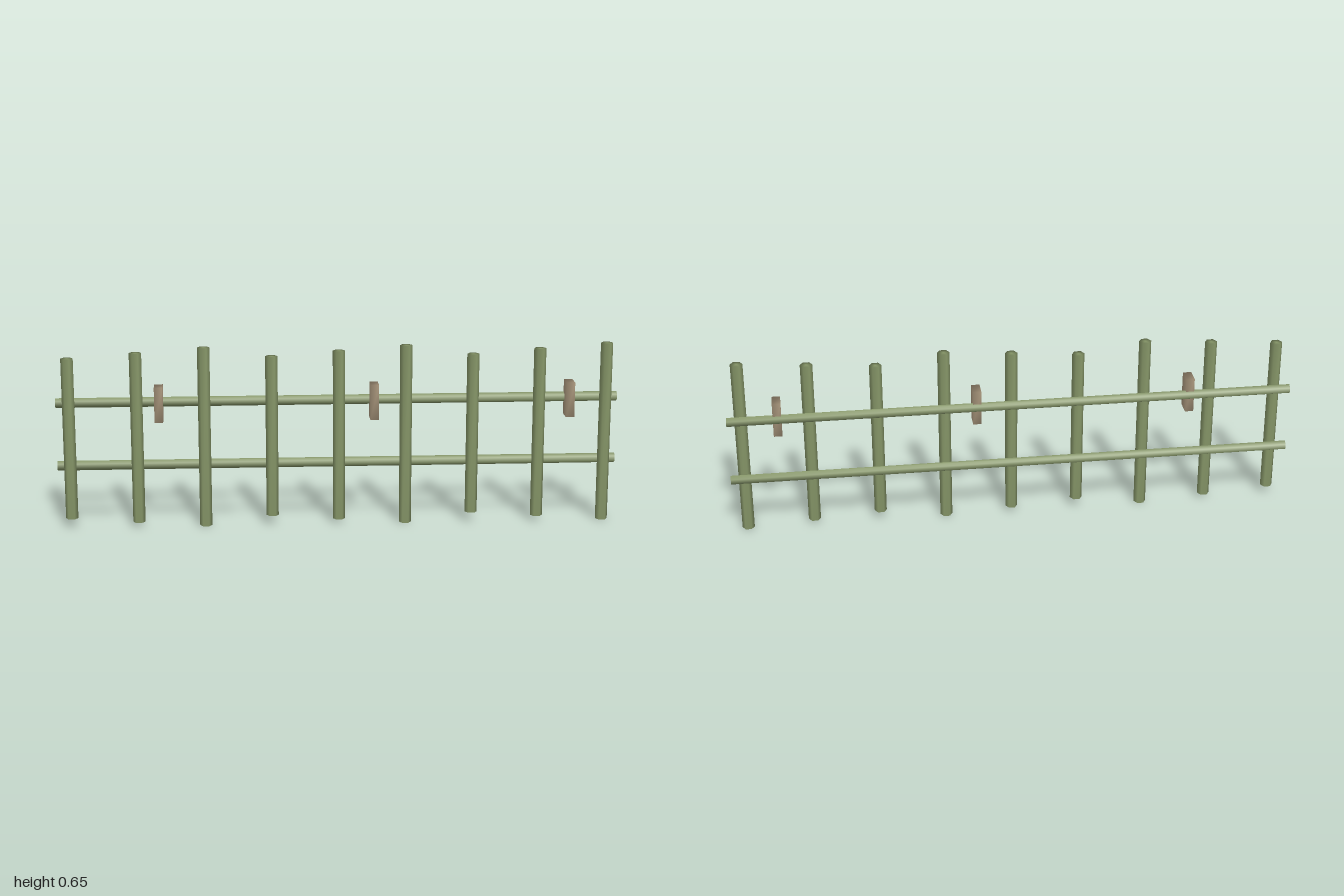
import * as THREE from 'three';
import { mergeVertices } from 'three/addons/utils/BufferGeometryUtils.js';

// Share corners between faces so the shading rolls softly over the edges
function soften(geometry) {
  geometry.deleteAttribute('normal');
  geometry.deleteAttribute('uv');
  const merged = mergeVertices(geometry, 1e-4);
  merged.computeVertexNormals();
  return merged;
}

export function createModel() {
  const group = new THREE.Group();
  const green = new THREE.MeshStandardMaterial({ color: 0x869668 });
  green.name = 'bamboo green';
  const tan = new THREE.MeshStandardMaterial({ color: 0xae9b80 });
  tan.name = 'tag tan';

  const add = (name, geometry, material, x, y, z) => {
    const mesh = new THREE.Mesh(geometry, material);
    mesh.name = name;
    mesh.position.set(x, y, z);
    group.add(mesh);
  };

  // Upright hexagonal posts in three repeating lengths
  const lengths = [0.58, 0.614, 0.648];
  const postGeometries = lengths.map((length) =>
    soften(new THREE.CylinderGeometry(0.0218, 0.0218, length, 6).rotateY(Math.PI / 2)));
  for (let i = 0; i < 9; i++) {
    add('post' + (i + 1), postGeometries[i % 3], green, (i - 4) * 0.238, 0.324, 0.0186);
  }

  // Two long hexagonal rails behind the posts, points up and down
  const rail = soften(
    new THREE.CylinderGeometry(0.0176, 0.0176, 2, 6).rotateY(Math.PI / 2).rotateZ(Math.PI / 2));
  add('lowerRail', rail, green, 0, 0.217, -0.0205);
  add('upperRail', rail, green, 0, 0.446, -0.0205);

  // Small blocks hung on the upper rail
  const tag = soften(new THREE.BoxGeometry(0.03, 0.126, 0.06));
  [-0.636, 0.126, 0.825].forEach((x, i) => add('tag' + (i + 1), tag, tan, x, 0.445, 0.0035));

  return group;
}
